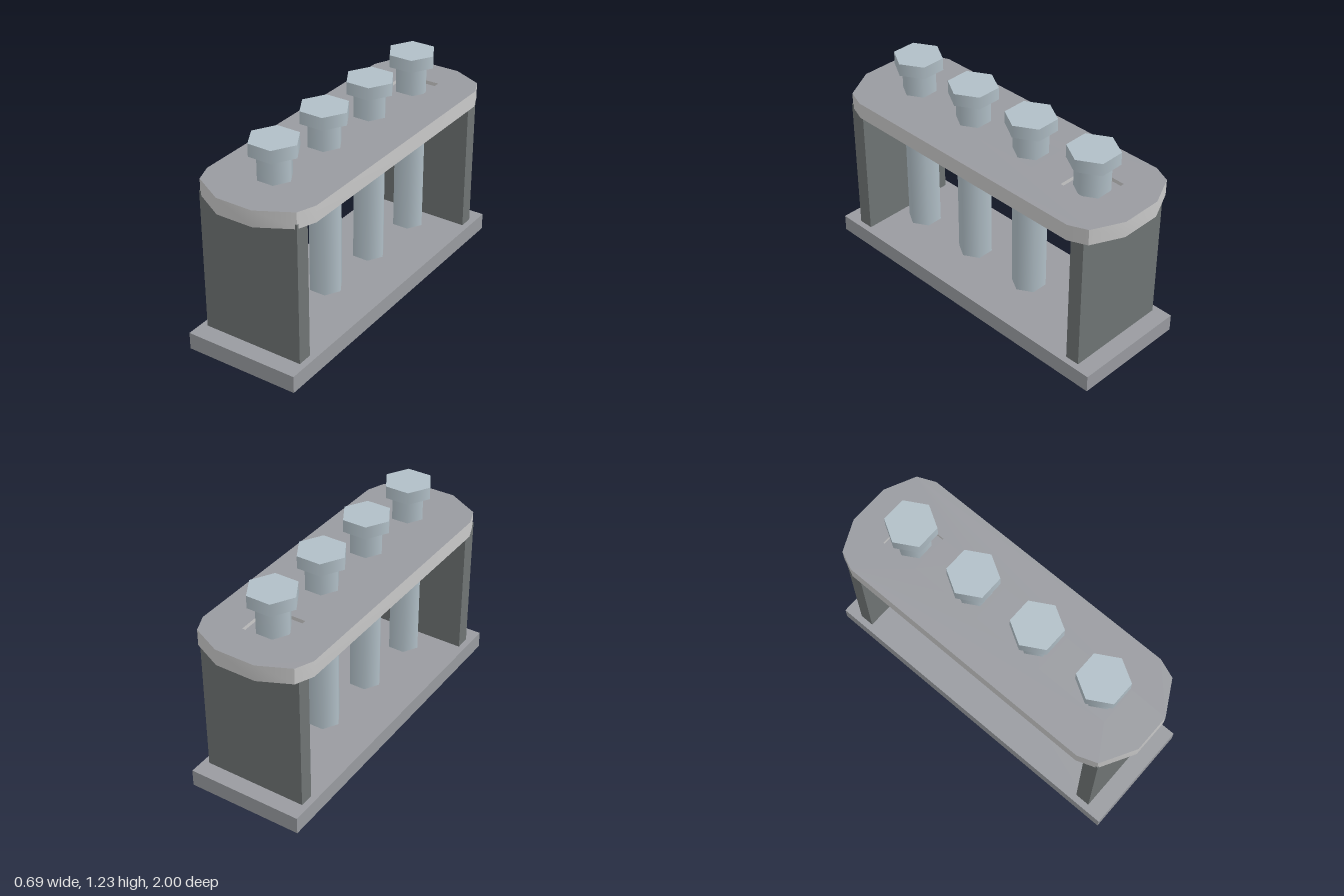
import * as THREE from 'three';
import { toCreasedNormals } from 'three/addons/utils/BufferGeometryUtils.js';

const mat = (name, color) => {
  const m = new THREE.MeshStandardMaterial({ color });
  m.name = name;
  return m;
};

export function createModel() {
  const grey = mat('grey', 0x999ba0);
  const lightGrey = mat('light grey', 0xc9c9c9);
  const darkGrey = mat('dark grey', 0x6f7474);
  const paleBlue = mat('pale blue', 0xb1bfc7);

  const root = new THREE.Group();
  root.name = 'tubeRack';
  const add = (name, geometry, material, x, y, z, parent = root) => {
    const mesh = new THREE.Mesh(geometry, material);
    mesh.name = name;
    mesh.position.set(x, y, z);
    parent.add(mesh);
    return mesh;
  };
  const box = (name, w, y0, y1, d, z, material) =>
    add(name, new THREE.BoxGeometry(w, y1 - y0, d), material, 0, (y0 + y1) / 2, z);

  // base and end panels
  box('base', 0.692, 0, 0.102, 1.99, 0.003, grey);
  box('frontPanel', 0.617, 0.1, 0.943, 0.09, 0.845, darkGrey);
  box('backPanel', 0.617, 0.1, 0.943, 0.085, -0.848, darkGrey);

  // top plate: chamfered outline with square sockets, light rim
  const tubeZ = [0.652, 0.21, -0.228, -0.667];
  const half = 0.115;
  const right = [[0.12, -1], [0.3, -0.915], [0.346, -0.81], [0.346, 0.775], [0.305, 0.885], [0.112, 0.993]];
  const left = right.map(([x, z]) => [-x, z]).reverse();
  const plate = new THREE.Shape([...right, ...left].map(([x, z]) => new THREE.Vector2(x, z)));
  for (const z of tubeZ) {
    plate.holes.push(new THREE.Path([
      new THREE.Vector2(-half, z - half), new THREE.Vector2(-half, z + half),
      new THREE.Vector2(half, z + half), new THREE.Vector2(half, z - half),
    ]));
  }
  const plateGeo = new THREE.ExtrudeGeometry(plate, { depth: 0.096, bevelEnabled: false });
  plateGeo.rotateX(Math.PI / 2);
  add('topPlate', toCreasedNormals(plateGeo, 0.6), [grey, lightGrey], 0, 1.012, 0);

  // hexagonal tubes with caps, each held by a socket block
  const hex = (r, h) => new THREE.CylinderGeometry(r, r, h, 6, 1, false, Math.PI / 6);
  tubeZ.forEach((z, i) => {
    const top = i === 3 ? 0.99 : 1.012;
    box('socket', half * 2, 0.916, top, half * 2, z, grey);
    const tube = new THREE.Group();
    tube.name = 'tube';
    tube.position.z = z;
    root.add(tube);
    add('tubeBody', hex(0.1, 1.07), paleBlue, 0, 0.635, 0, tube);
    add('tubeCap', hex(0.144, 0.074), paleBlue, 0, 1.196, 0, tube);
  });

  return root;
}
